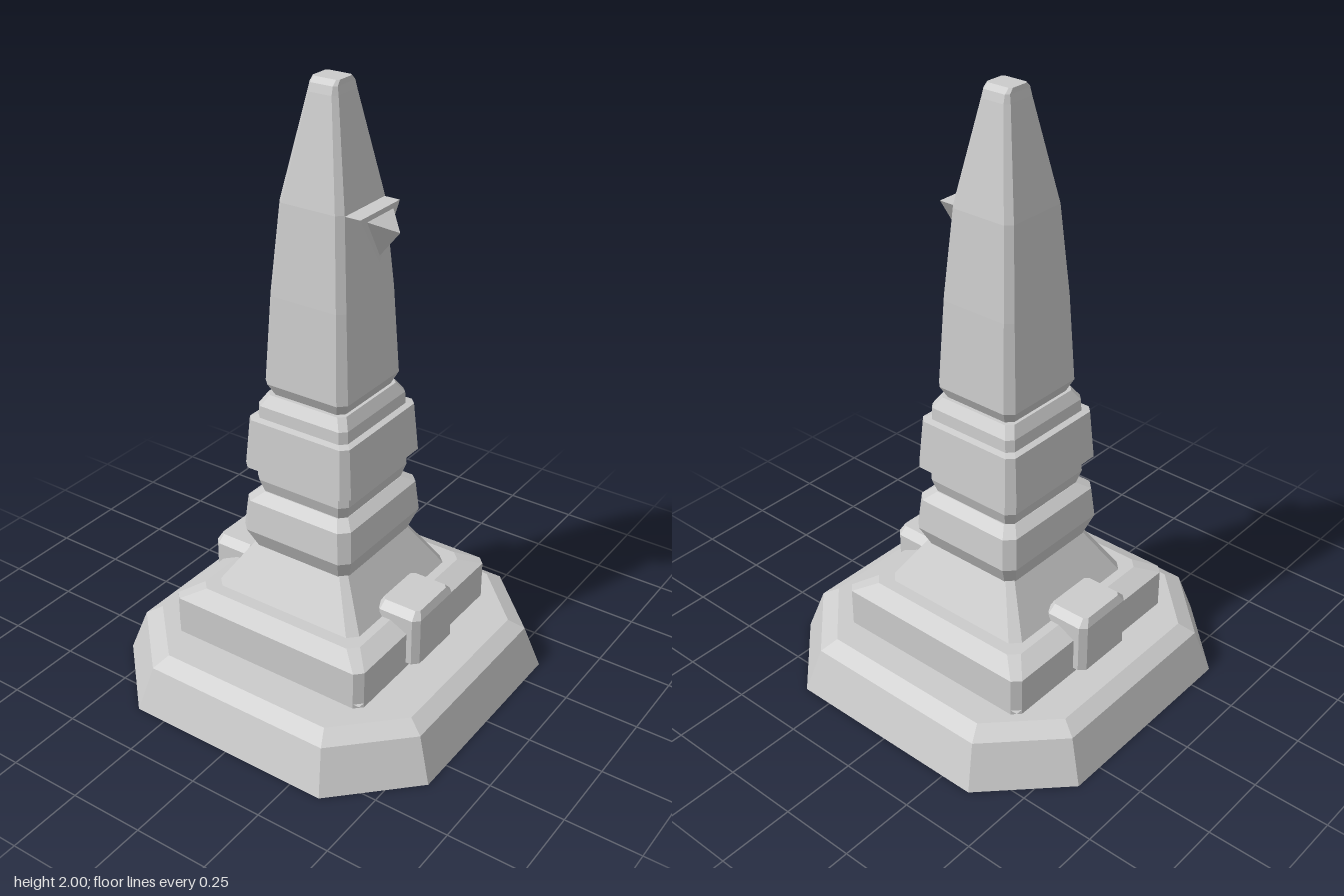
import * as THREE from 'three';

const CX = -0.015, CZ = -0.013; // centre line of the tower

// Rectangle with cut corners, running from +x towards +z
function ringPoints([y, hx, hz, c]) {
  return [
    [hx, hz - c], [hx - c, hz], [c - hx, hz], [-hx, hz - c],
    [-hx, c - hz], [c - hx, -hz], [hx - c, -hz], [hx, c - hz],
  ].map(([x, z]) => new THREE.Vector3(x, y, z));
}

// Flat-shaded solid through rings of [y, halfX, halfZ, cornerCut]
function loft(rings, { top = true, bottom = true } = {}) {
  const loops = rings.map(ringPoints), pos = [];
  const tri = (...pts) => pts.forEach((p) => pos.push(p.x, p.y, p.z));
  for (let r = 0; r < loops.length - 1; r++) {
    for (let i = 0; i < 8; i++) {
      const j = (i + 1) % 8, lo = loops[r], hi = loops[r + 1];
      tri(lo[i], hi[i], hi[j]);
      tri(lo[i], hi[j], lo[j]);
    }
  }
  const first = loops[0], last = loops[loops.length - 1];
  for (let i = 1; i < 7; i++) {
    if (bottom) tri(first[0], first[i], first[i + 1]);
    if (top) tri(last[0], last[i + 1], last[i]);
  }
  const geo = new THREE.BufferGeometry();
  geo.setAttribute('position', new THREE.Float32BufferAttribute(pos, 3));
  geo.computeVertexNormals();
  return geo;
}

export function createModel() {
  const model = new THREE.Group();
  model.name = 'monument';
  const grey = new THREE.MeshStandardMaterial({ color: 0xcccccc, flatShading: true });
  const thin = new THREE.MeshStandardMaterial({ color: 0xcccccc, flatShading: true, side: THREE.DoubleSide });
  const add = (name, geo, mat = grey, x = CX, y = 0, z = CZ) => {
    const mesh = new THREE.Mesh(geo, mat);
    mesh.name = name;
    mesh.position.set(x, y, z);
    model.add(mesh);
    return mesh;
  };

  // Hollow octagonal base, open underneath
  const baseTop = [0.175, 0.495, 0.49, 0.19];
  add('baseShell', loft([
    [0, 0.595, 0.592, 0.238], [0.145, 0.545, 0.542, 0.215], baseTop,
  ], { top: false, bottom: false }), thin, 0, 0, 0);

  // Base deck with an opening below the plinth
  const deck = new THREE.Shape(ringPoints(baseTop).map((p) => new THREE.Vector2(p.x, -p.z)));
  deck.holes.push(new THREE.Path(ringPoints([0, 0.36, 0.375, 0.025])
    .map((p) => new THREE.Vector2(p.x + CX, -p.z - CZ))));
  add('baseDeck', new THREE.ShapeGeometry(deck).rotateX(-Math.PI / 2), thin, 0, 0.175, 0);

  // Plinth with bevelled top, and the floor panel seen from underneath
  add('plinth', loft([
    [0.172, 0.366, 0.381, 0.025], [0.305, 0.366, 0.381, 0.025], [0.335, 0.305, 0.32, 0.03],
  ], { bottom: false }), thin);
  add('plinthFloor', new THREE.PlaneGeometry(0.73, 0.76).rotateX(Math.PI / 2), thin, CX, 0.19);

  // Side blocks with chamfered edges
  for (const side of [1, -1]) {
    add(side > 0 ? 'leftBlock' : 'rightBlock', loft([
      [0.178, 0.065, 0.092, 0.015], [0.195, 0.08, 0.113, 0.02],
      [0.36, 0.08, 0.113, 0.02], [0.385, 0.068, 0.088, 0.012],
    ]), grey, CX + side * 0.325, 0, -0.006);
  }

  // Tower stages
  add('flaredFoot', loft([[0.33, 0.277, 0.28, 0.03], [0.485, 0.177, 0.19, 0.02]]));
  add('lowerBlock', loft([
    [0.48, 0.18, 0.192, 0.025], [0.55, 0.206, 0.226, 0.03],
    [0.655, 0.197, 0.215, 0.03], [0.68, 0.163, 0.175, 0.025],
  ]));
  add('neck', loft([
    [0.675, 0.16, 0.17, 0.02], [0.725, 0.175, 0.187, 0.025], [0.775, 0.172, 0.183, 0.025],
  ]));
  add('upperBlock', loft([
    [0.755, 0.172, 0.183, 0.02], [0.775, 0.2, 0.214, 0.025],
    [0.94, 0.187, 0.201, 0.022], [0.945, 0.168, 0.18, 0.02],
  ]));
  add('collar', loft([
    [0.94, 0.168, 0.18, 0.02], [0.985, 0.166, 0.178, 0.02], [1.02, 0.145, 0.155, 0.02],
  ]));

  // Tapering shaft with a softened tip
  add('shaft', loft([
    [1.015, 0.132, 0.14, 0.02], [1.06, 0.153, 0.164, 0.025], [1.35, 0.137, 0.148, 0.022],
    [1.64, 0.114, 0.123, 0.02], [1.96, 0.053, 0.06, 0.014],
    [1.985, 0.048, 0.053, 0.01], [2, 0.046, 0.037, 0.008],
  ]));

  // Triangular mount on the left face, with a pyramid spike
  const triangle = (halfWidth, topY, tipY) => [
    new THREE.Vector2(halfWidth, topY), new THREE.Vector2(-halfWidth, topY), new THREE.Vector2(0, tipY),
  ];
  const mount = new THREE.ExtrudeGeometry(new THREE.Shape(triangle(0.102, 1.637, 1.475)),
    { depth: 0.09, bevelEnabled: false }).rotateY(Math.PI / 2);
  add('spikeMount', mount, grey, 0.062, 0, -0.012);

  const [a, b, c] = triangle(0.07, 1.622, 1.495).map((p) => new THREE.Vector3(0.15, p.y, -p.x));
  const tip = new THREE.Vector3(0.22, 1.582, 0);
  const spike = new THREE.BufferGeometry().setFromPoints([a, b, tip, b, c, tip, c, a, tip]);
  spike.computeVertexNormals();
  add('spike', spike, thin, 0, 0, -0.012);

  return model;
}
